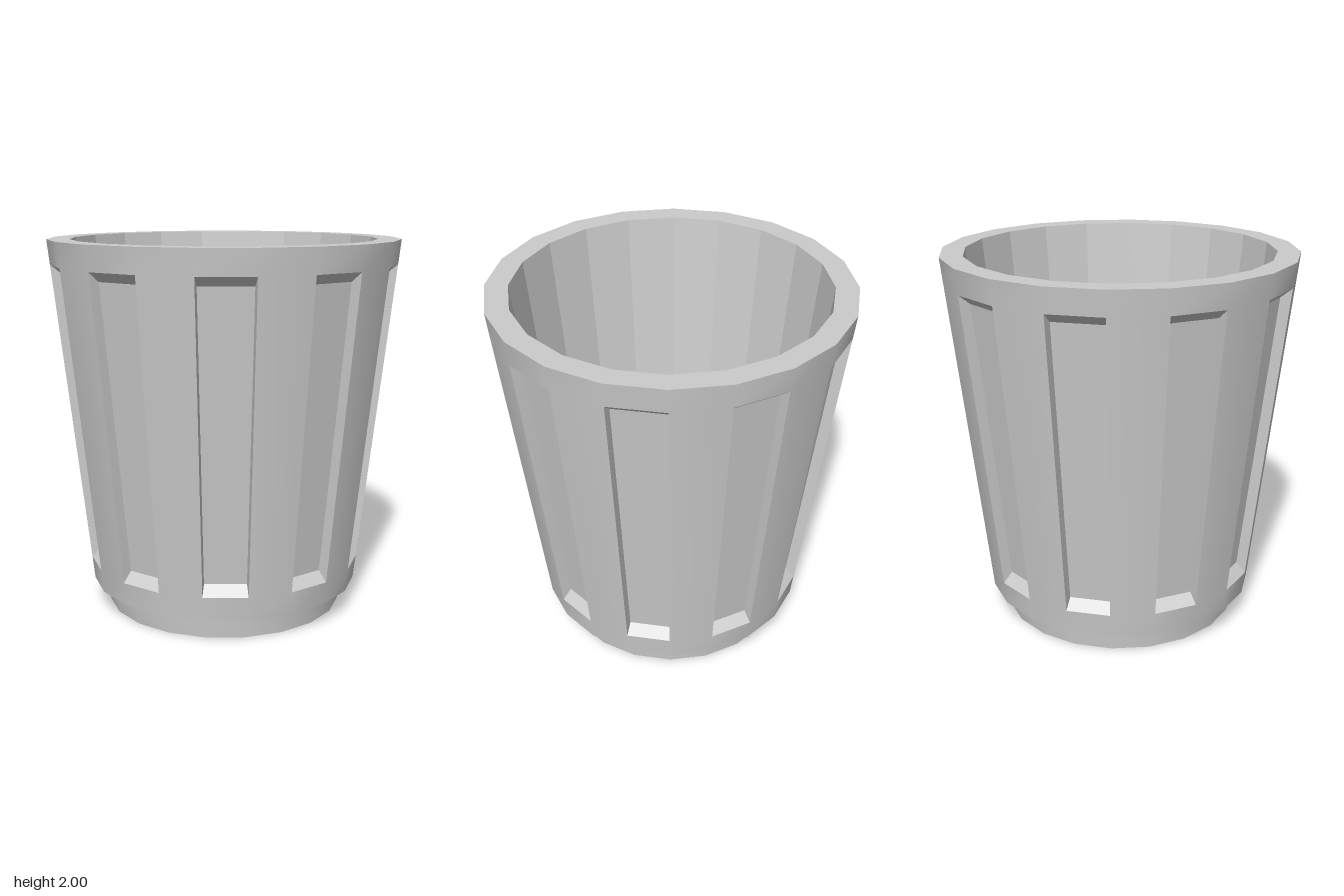
import * as THREE from 'three';
import { toCreasedNormals } from 'three/addons/utils/BufferGeometryUtils.js';

const SIDES = 20;
const FLOOR_Y = 0.14;
const RECESS = 0.056;

// outer radius of the tapered wall at height y
const wallRadius = (y) => 0.73 + (0.935 - 0.73) * (y - 0.13) / 1.87;

// point on side line k, set in from the outer wall
function wallPoint(k, y, inset = 0) {
  const a = (k / SIDES) * Math.PI * 2;
  const r = wallRadius(y) - inset;
  return [r * Math.sin(a), y, r * Math.cos(a)];
}

// four corners of a facet, counter-clockwise from outside
const facet = (k, y0, y1, inset = 0) => [
  wallPoint(k, y0, inset), wallPoint(k + 1, y0, inset),
  wallPoint(k + 1, y1, inset), wallPoint(k, y1, inset),
];

function wallGeometry() {
  const pos = [];
  const quad = (a, b, c, d) => pos.push(...a, ...b, ...c, ...a, ...c, ...d);
  for (let k = 0; k < SIDES; k++) {
    quad(...facet(k, 0.13, 0.255)); // lower band
    quad(...facet(k, 1.87, 2)); // upper band
    const outer = facet(k, 0.255, 1.87);
    if (k % 2) {
      quad(...outer); // rib
    } else {
      // recessed panel with four side walls
      const inner = facet(k, 0.31, 1.82, RECESS);
      for (let i = 0; i < 4; i++) {
        const j = (i + 1) % 4;
        quad(outer[i], outer[j], inner[j], inner[i]);
      }
      quad(...inner);
    }
  }
  const g = new THREE.BufferGeometry();
  g.setAttribute('position', new THREE.Float32BufferAttribute(pos, 3));
  return toCreasedNormals(g, Math.PI / 7);
}

function lathe(points) {
  return new THREE.LatheGeometry(points.map(([r, y]) => new THREE.Vector2(r, y)), SIDES);
}

export function createModel() {
  const group = new THREE.Group();
  group.name = 'cup';
  const smooth = new THREE.MeshStandardMaterial({ color: 0xcccccc });
  const flat = new THREE.MeshStandardMaterial({ color: 0xcccccc, flatShading: true });
  const add = (name, geometry, material) => {
    const mesh = new THREE.Mesh(geometry, material);
    mesh.name = name;
    group.add(mesh);
  };

  // tapered outside with alternating ribs and sunken panels
  add('outerWall', wallGeometry(), smooth);

  // underside, narrow foot and the step out to the wall
  const foot = lathe([[0, 0], [0.645, 0], [0.655, 0.11], [0.73, 0.13]]);
  add('foot', toCreasedNormals(foot, Math.PI / 7), smooth);

  // thick rim, faceted inside and floor
  add('rimAndInside', lathe([[0.935, 2], [0.815, 2], [0.63, FLOOR_Y], [0, FLOOR_Y]]), flat);

  return group;
}
